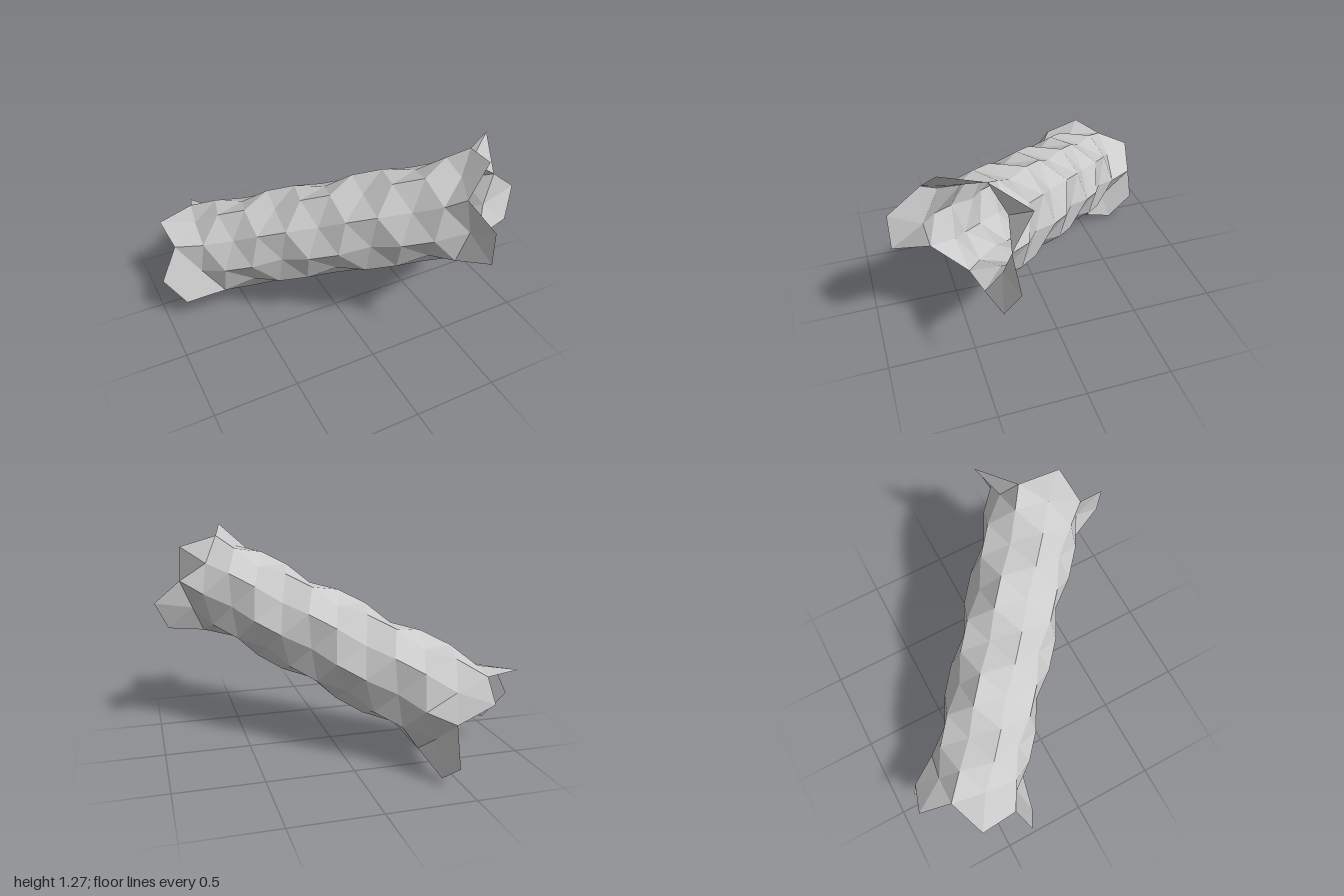
import * as THREE from 'three';

// Tube frame: axis runs up from back right to front left
const axis = new THREE.Vector3(0.707, 0.347, 0.615).normalize();
const side = new THREE.Vector3().crossVectors(axis, new THREE.Vector3(0, 1, 0)).normalize();
const up = new THREE.Vector3().crossVectors(side, axis);
const centre = new THREE.Vector3(0, 0.635, 0);

// Point from angle around the axis (degrees), distance along it, and radius
function tubePoint(angle, t, r) {
  const a = THREE.MathUtils.degToRad(angle);
  return centre.clone()
    .addScaledVector(axis, t)
    .addScaledVector(side, r * Math.cos(a))
    .addScaledVector(up, r * Math.sin(a));
}

// Last lattice row of each of the ten columns (columns 5 and 9 carry flaps)
const lastRow = [10, 11, 10, 11, 10, 9, 8, 7, 8, 9];
const HALF_STEP = 0.0935;

// Flared rim points per column: [angle, distance, radius]
const rims = {
  1: {
    0: [36.8, 0.885, 0.332], 1: [69.6, 1.013, 0.33], 2: [106.5, 0.89, 0.317],
    3: [146, 0.94, 0.436], 4: [178, 0.935, 0.28], 6: [250.5, 0.784, 0.313],
    7: [283, 0.62, 0.297], 8: [327, 0.72, 0.312],
  },
  '-1': {
    0: [36.5, 0.915, 0.346], 1: [68, 1.05, 0.332], 2: [108, 0.94, 0.285],
    3: [140, 1.05, 0.342], 4: [171, 0.93, 0.35], 6: [242, 0.761, 0.316],
    7: [284, 0.664, 0.31], 8: [325, 0.75, 0.31],
  },
};

// Two outer corners of each flap
const flaps = {
  1: { 5: [[201.6, 1.0, 0.413], [228, 0.925, 0.418]], 9: [[338, 0.933, 0.395], [6.8, 1.0, 0.373]] },
  '-1': { 5: [[202, 1.04, 0.398], [230, 0.964, 0.405]], 9: [[338, 0.966, 0.4], [7, 1.03, 0.395]] },
};

// Lattice vertex: every third row is dimpled inward
function vertex(column, row) {
  const j = (column + 10) % 10;
  const end = Math.sign(row);
  if (Math.abs(row) === lastRow[j] && rims[end][j]) {
    const [a, t, r] = rims[end][j];
    return tubePoint(a, end * t, r);
  }
  return tubePoint(34 + 36 * j, row * HALF_STEP, row % 3 === 0 ? 0.253 : 0.291);
}

function facetMesh(name, triangles) {
  const geometry = new THREE.BufferGeometry().setFromPoints(triangles.flat());
  geometry.computeVertexNormals();
  const mesh = new THREE.Mesh(geometry, new THREE.MeshStandardMaterial({
    color: 0xcccccc, flatShading: true, side: THREE.DoubleSide,
  }));
  mesh.name = name;
  return mesh;
}

export function createModel() {
  const group = new THREE.Group();
  group.name = 'facetedTube';

  // Tube wall: strips of triangles between neighbouring columns
  const wall = [];
  for (let j = 0; j < 10; j++) {
    const n = (j + 1) % 10;
    for (let k = -lastRow[j]; k < lastRow[j]; k += 2) {
      if (Math.abs(k + 1) <= lastRow[n]) wall.push([vertex(j, k), vertex(j, k + 2), vertex(n, k + 1)]);
    }
    for (let k = -lastRow[n]; k < lastRow[n]; k += 2) {
      if (Math.abs(k + 1) <= lastRow[j]) wall.push([vertex(n, k + 2), vertex(n, k), vertex(j, k + 1)]);
    }
  }
  group.add(facetMesh('tubeWall', wall));

  // Flaps: a fan of three triangles at two columns of each end
  for (const end of [1, -1]) {
    for (const j of [5, 9]) {
      const base = vertex(j, end * lastRow[j]);
      const before = vertex(j - 1, end * lastRow[j - 1]);
      const after = vertex(j + 1, end * lastRow[(j + 1) % 10]);
      const [c1, c2] = flaps[end][j].map(([a, t, r]) => tubePoint(a, end * t, r));
      const fan = [before, c1, c2, after];
      const triangles = [];
      for (let i = 0; i < 3; i++) {
        triangles.push(end > 0 ? [base, fan[i], fan[i + 1]] : [base, fan[i + 1], fan[i]]);
      }
      group.add(facetMesh(end > 0 ? 'upperEndFlap' : 'lowerEndFlap', triangles));
    }
  }
  return group;
}
